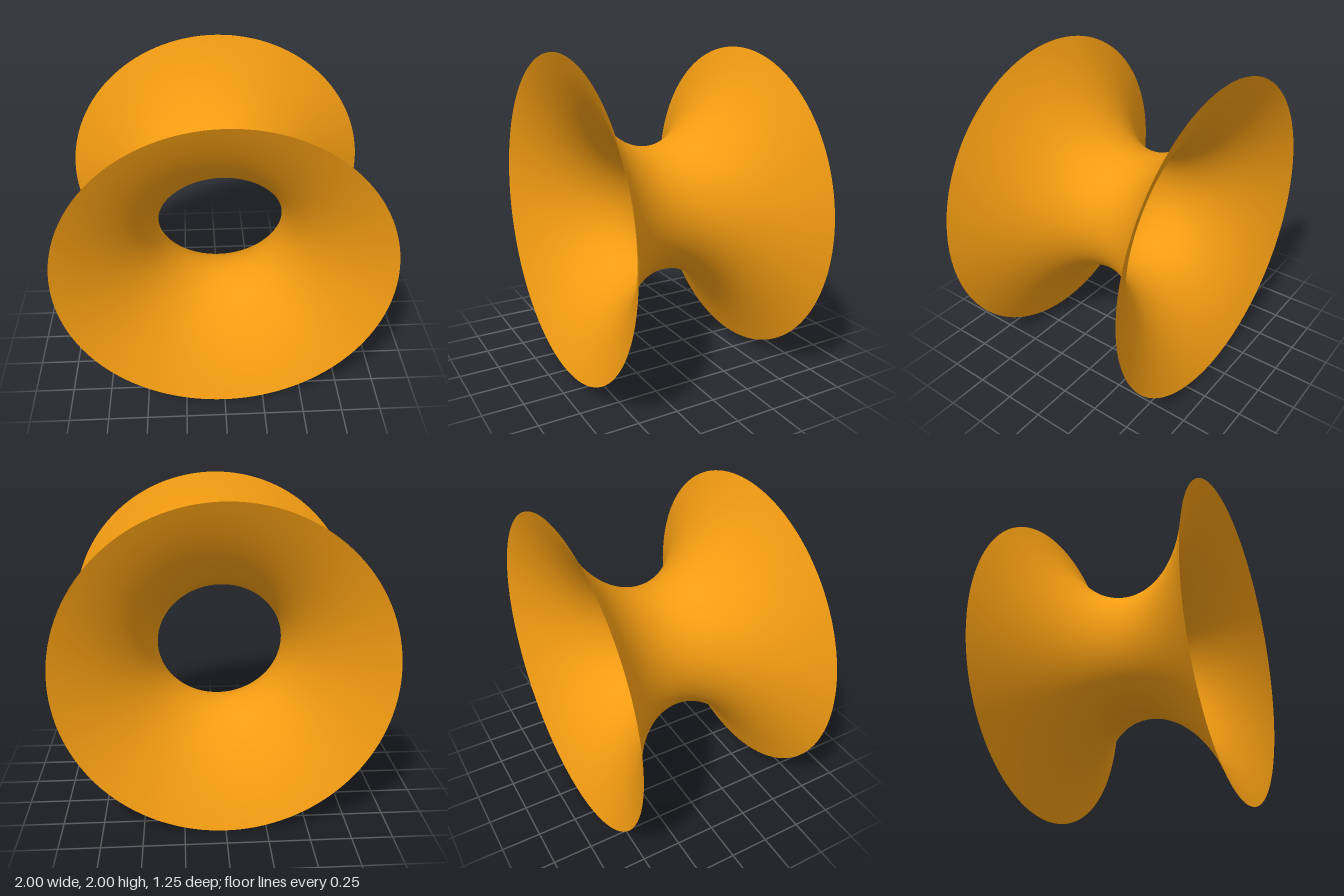
import * as THREE from 'three';

export function createModel() {
  const group = new THREE.Group();
  group.name = 'catenoid';

  // Catenary profile: radius = waist * cosh(height / waist), flaring to a rim of radius 1
  const waist = 0.4, rim = 1, steps = 64;
  const limit = Math.acosh(rim / waist);
  const profile = [];
  for (let i = 0; i <= steps; i++) {
    const v = -limit + (2 * limit * i) / steps;
    profile.push(new THREE.Vector2(waist * Math.cosh(v), waist * v));
  }

  // Thin open surface of revolution, its axis turned to run front to back
  const geometry = new THREE.LatheGeometry(profile, 128);
  geometry.rotateX(Math.PI / 2);
  const material = new THREE.MeshStandardMaterial({ color: 0xf39c12, side: THREE.DoubleSide });
  const surface = new THREE.Mesh(geometry, material);
  surface.name = 'catenoidSurface';
  surface.position.y = rim;
  group.add(surface);

  return group;
}
